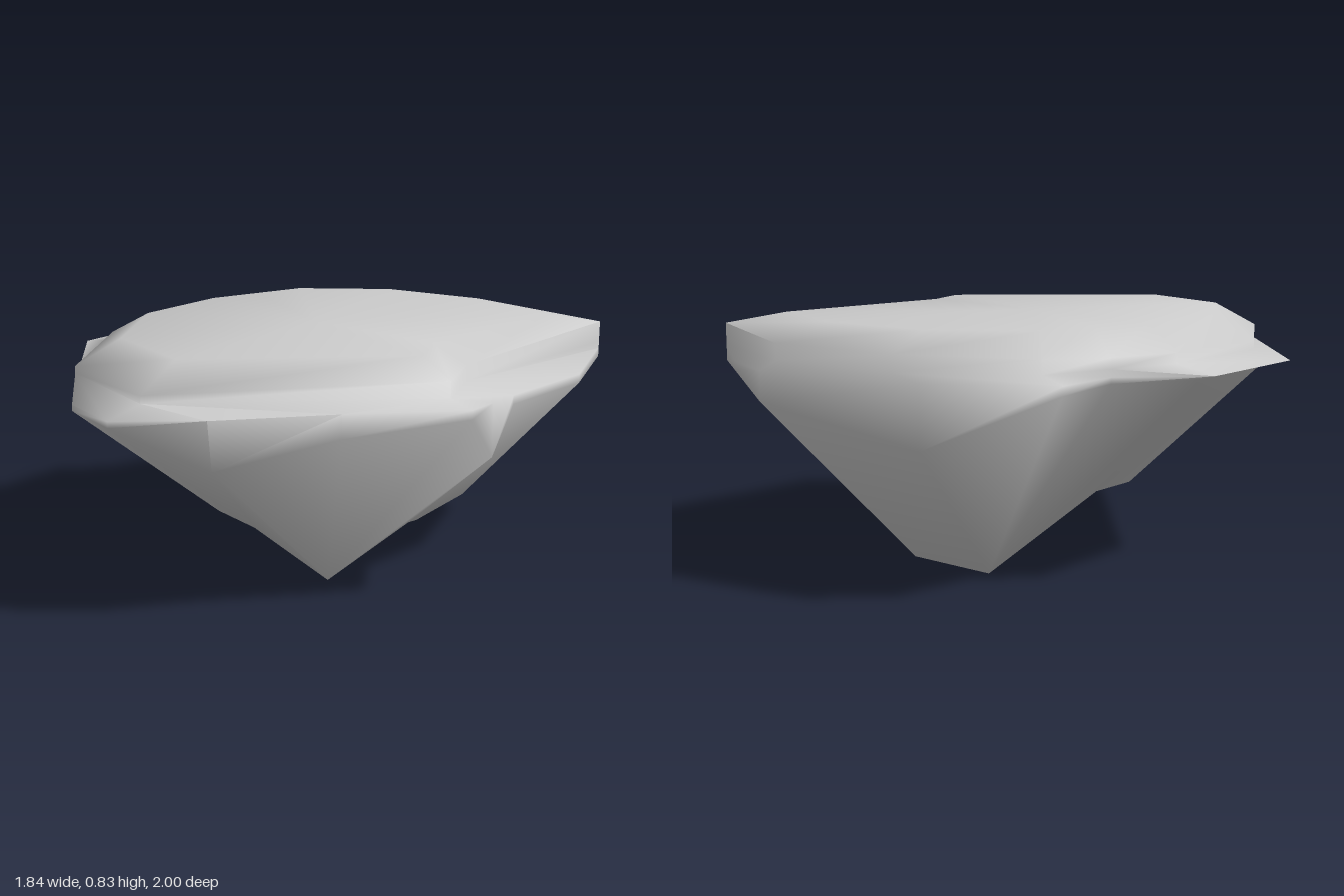
import * as THREE from 'three';
import { toCreasedNormals } from 'three/addons/utils/BufferGeometryUtils.js';

const material = new THREE.MeshStandardMaterial({ color: 0xcccccc });

// Rim of the rock, counterclockwise from the front as seen from above:
// x, z, height and inset of its lower edge, keel point below, slab corner above
const rim = [
  [-0.22, 1.0, 0.68, 1, 6, 0], [0.05, 0.87, 0.53, 0.97, 0, 0],
  [0.39, 0.63, 0.62, 1, 0, 1], [0.74, 0.42, 0.67, 1, 0, 1],
  [0.77, 0.30, 0.52, 1, 1, 1], [0.80, 0.18, 0.67, 1, 1, 2],
  [0.92, -0.20, 0.67, 1, 2, 2], [0.88, -0.65, 0.67, 1, 2, 3],
  [0.69, -0.84, 0.67, 1, 3, 4], [0.48, -0.98, 0.60, 1, 3, 4],
  [-0.12, -1.0, 0.50, 1, 4, 5], [-0.51, -0.84, 0.67, 1, 4, 6],
  [-0.56, -0.61, 0.68, 1, 4, 7], [-0.83, -0.44, 0.68, 0.92, 7, 8],
  [-0.92, 0.02, 0.68, 0.89, 5, 9], [-0.60, 0.59, 0.68, 0.97, 5, 10],
  [-0.43, 0.87, 0.68, 1, 5, 10],
];

// Keel: front point, saddle on the right, back edge, saddle on the left
const keel = [
  [0.20, 0.01, 0.30], [0.41, 0.18, 0.08], [0.48, 0.18, -0.30], [0.25, 0, -0.45],
  [-0.08, 0, -0.52], [-0.25, 0.18, 0.24], [-0.07, 0.168, 0.32], [-0.20, 0.175, 0.06],
];
const underside = [[0, 6, 1], [6, 5, 7], [6, 7, 1], [7, 4, 1], [1, 4, 3], [1, 3, 2]];

// Slab on top: x, z, height where its bevel starts
const slab = [
  [-0.19, 0.855, 0.75], [0.66, 0.40, 0.78], [0.63, 0.16, 0.78], [0.88, -0.65, 0.80],
  [0.47, -0.91, 0.78], [-0.01, -0.98, 0.78], [-0.43, -0.82, 0.77], [-0.56, -0.61, 0.76],
  [-0.69, -0.40, 0.76], [-0.78, 0.06, 0.755], [-0.60, 0.59, 0.75],
];

// Faces between two rings of n points, the second above the first
function band(low, high, n) {
  const faces = [];
  for (let i = 0; i < n; i++) {
    const j = (i + 1) % n;
    faces.push([low + i, low + j, high + j], [low + i, high + j, high + i]);
  }
  return faces;
}

// Faces from a ring of the rim to a smaller ring, following the links in one rim column
function linked(ring, target, column, above) {
  const faces = [];
  rim.forEach((entry, i) => {
    const j = (i + 1) % rim.length;
    const a = target + entry[column];
    const b = target + rim[j][column];
    faces.push([ring + i, ring + j, a]);
    if (a !== b) faces.push([ring + j, b, a]);
  });
  return above ? faces : faces.map(([p, q, r]) => [r, q, p]);
}

export function createModel() {
  const n = rim.length;
  const m = slab.length;
  const points = [
    ...rim.map(([x, z, y, inset]) => [x * inset, y, z * inset]),
    ...rim.map(([x, z]) => [x, 0.70, z]),
    ...keel,
    ...slab.map(([x, z]) => [x, 0.725, z]),
    ...slab.map(([x, z, y]) => [x, y, z]),
    ...slab.map(([x, z]) => [x * 0.81, 0.835, z * 0.81]),
    [0, 0.835, -0.05],
  ];
  const keelStart = 2 * n;
  const foot = keelStart + keel.length;
  const top = foot + 2 * m;
  const faces = [
    // Tapering sides, underside and rim edge
    ...linked(0, keelStart, 4, false),
    ...underside.map((f) => f.map((v) => keelStart + v)),
    ...band(0, n, n),
    // Shelf, slab edge, bevel and flat top
    ...linked(n, foot, 5, true),
    ...band(foot, foot + m, m),
    ...band(foot + m, top, m),
    ...slab.map((_, i) => [top + i, top + (i + 1) % m, top + m]),
  ];

  const geometry = new THREE.BufferGeometry();
  geometry.setAttribute('position', new THREE.Float32BufferAttribute(points.flat(), 3));
  geometry.setIndex(faces.flat());
  const rock = new THREE.Mesh(toCreasedNormals(geometry, 1.5), material);
  rock.name = 'rock';

  const group = new THREE.Group();
  group.name = 'floatingRock';
  group.add(rock);
  return group;
}
